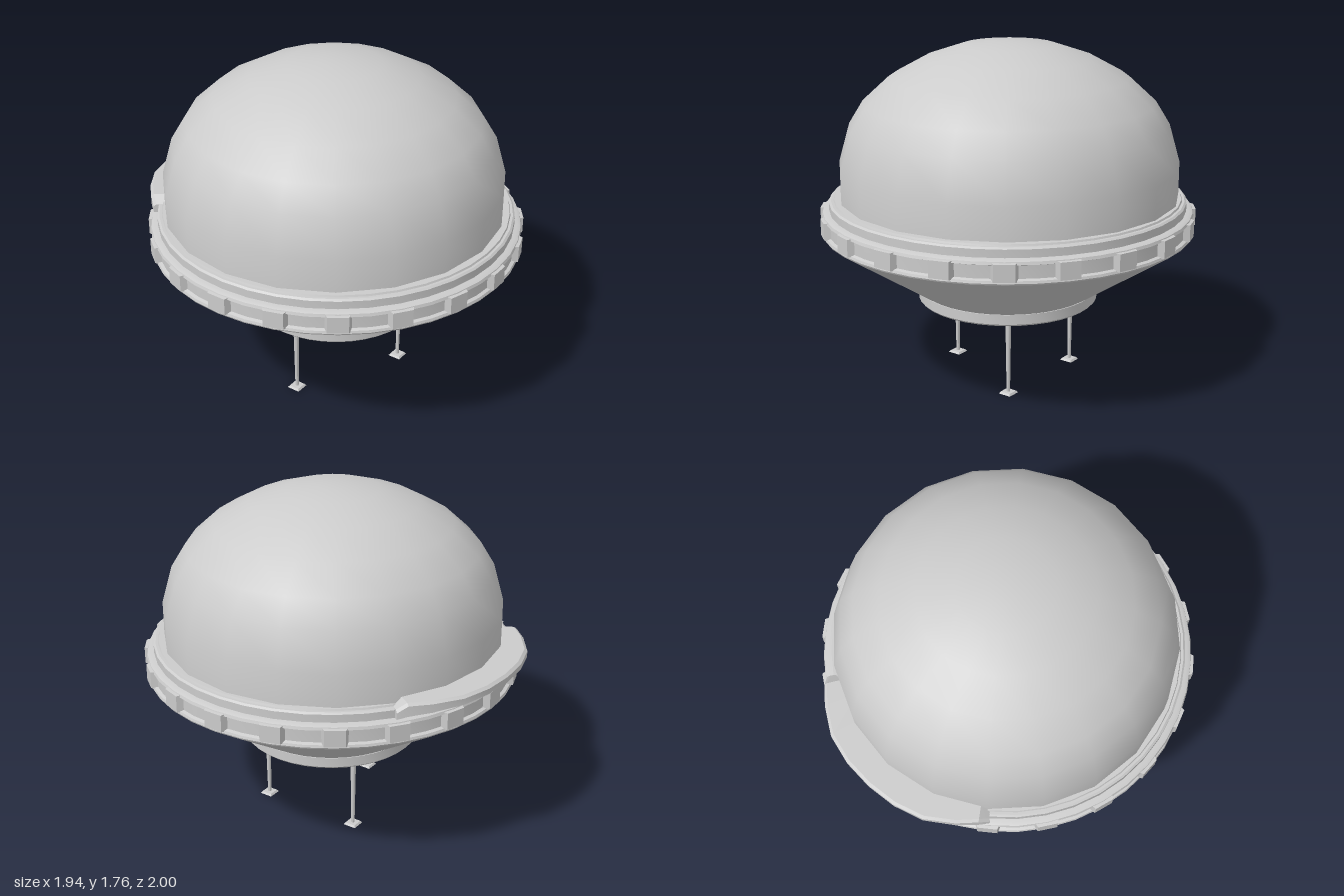
import * as THREE from 'three';
import { toCreasedNormals } from 'three/addons/utils/BufferGeometryUtils.js';

const material = new THREE.MeshStandardMaterial({ color: 0xcccccc });
const DOME_SIDES = 20;
const RIM_SIDES = 40;
const CENTRE_Z = 0.03;

function part(name, geometry, parent, crease = 0.5) {
  const mesh = new THREE.Mesh(toCreasedNormals(geometry, crease), material);
  mesh.name = name;
  parent.add(mesh);
  return mesh;
}

// Turned part from [radius, height] pairs, listed from the bottom up
function turned(name, profile, sides, parent, crease) {
  const points = profile.map(([r, y]) => new THREE.Vector2(r, y));
  return part(name, new THREE.LatheGeometry(points, sides), parent, crease);
}

// Rim block: a box whose outer face is narrower and shorter than its root
function blockGeometry() {
  const geometry = new THREE.BoxGeometry(0.14, 0.1, 0.05);
  const p = geometry.attributes.position;
  for (let i = 0; i < p.count; i++) {
    if (p.getZ(i) > 0) p.setXY(i, p.getX(i) * 0.72, p.getY(i) * 0.86);
  }
  return geometry;
}

// Rear ledge: cross-sections [angle in degrees, outer radius, top, outer bottom] swept around the back
function ledgeGeometry() {
  const half = [
    [0, 1.03, 1.0, 0.96], [9, 1.03, 1.0, 0.96], [18, 1.023, 1.0, 0.957],
    [27, 0.99, 1.0, 0.945], [33.5, 0.962, 1.0, 0.935], [36.5, 0.945, 0.965, 0.92],
  ];
  const sections = [...half.slice(1).reverse().map(([a, ...rest]) => [-a, ...rest]), ...half];
  const positions = [];
  const index = [];
  for (const [degrees, outer, top, bottom] of sections) {
    const a = THREE.MathUtils.degToRad(degrees);
    const loop = [[0.82, top], [outer - 0.015, top], [outer, top - 0.012], [outer, bottom], [0.91, 0.918], [0.82, 0.918]];
    for (const [r, y] of loop) positions.push(r * Math.sin(a), y, -r * Math.cos(a));
  }
  const n = 6;
  for (let s = 0; s < sections.length - 1; s++) {
    for (let k = 0; k < n; k++) {
      const a = s * n + k, b = s * n + (k + 1) % n;
      index.push(a, a + n, b, b, a + n, b + n);
    }
  }
  // End caps
  const last = (sections.length - 1) * n;
  for (let k = 1; k < n - 1; k++) {
    index.push(0, k, k + 1, last, last + k + 1, last + k);
  }
  const geometry = new THREE.BufferGeometry();
  geometry.setAttribute('position', new THREE.Float32BufferAttribute(positions, 3));
  geometry.setIndex(index);
  return geometry;
}

// Landing leg with framed mounting plate, tapered pole and small square foot
function addLeg(x, z, parent) {
  const leg = new THREE.Group();
  leg.name = 'landingLeg';
  leg.position.set(x, 0, z);
  parent.add(leg);
  const plate = turned('mountingPlate', [
    [0, 0.405], [0.055, 0.405], [0.06, 0.394], [0.078, 0.394], [0.085, 0.402], [0.085, 0.414],
  ], 4, leg, 0.3);
  plate.rotation.y = Math.PI / 4;
  part('legPole', new THREE.CylinderGeometry(0.015, 0.009, 0.4, 8), leg, 0.9).position.y = 0.206;
  const foot = new THREE.CylinderGeometry(0.04, 0.05, 0.01, 4).rotateY(Math.PI / 4);
  part('foot', foot, leg).position.y = 0.005;
}

export function createModel() {
  const model = new THREE.Group();
  model.name = 'domedSaucer';

  // Dome
  const dome = turned('dome', [
    [0.877, 0.92], [0.877, 1.14], [0.82, 1.338], [0.746, 1.458], [0.61, 1.582],
    [0.43, 1.68], [0.24, 1.744], [0.08, 1.762], [0, 1.764],
  ], DOME_SIDES, model, 0.6);
  dome.position.z = 0.018;

  const hull = new THREE.Group();
  hull.name = 'hull';
  hull.position.z = CENTRE_Z;
  model.add(hull);

  // Collar around the foot of the dome
  turned('domeCollar', [
    [0.92, 0.905], [0.92, 0.958], [0.91, 0.966], [0.897, 0.966], [0.893, 0.975], [0.84, 0.975],
  ], RIM_SIDES, hull);

  // Rim with a sunken band
  turned('rim', [
    [0.958, 0.8], [0.962, 0.808], [0.958, 0.82], [0.942, 0.826], [0.942, 0.89],
    [0.958, 0.896], [0.953, 0.91], [0.935, 0.918], [0.85, 0.918],
  ], RIM_SIDES, hull);

  // Blocks spaced around the rim
  for (let i = 0; i < 20; i++) {
    const angle = (i / 20) * Math.PI * 2;
    const block = part('rimBlock', blockGeometry(), hull);
    block.position.set(0.944 * Math.sin(angle), 0.86, 0.944 * Math.cos(angle));
    block.rotation.y = angle;
  }

  // Sloping underside
  turned('lowerCone', [[0.45, 0.463], [0.465, 0.473], [0.958, 0.8]], RIM_SIDES, hull);

  // Base disc with a round recess
  turned('baseDisc', [
    [0, 0.47], [0.2, 0.47], [0.2, 0.435], [0.225, 0.412], [0.46, 0.412],
    [0.47, 0.422], [0.47, 0.473], [0.44, 0.476],
  ], RIM_SIDES, hull);

  // Rear ledge
  part('rearLedge', ledgeGeometry(), hull, 0.4);

  // Three landing legs
  addLeg(0.207, 0.272, hull);
  addLeg(0.207, -0.282, hull);
  addLeg(-0.35, -0.005, hull);

  return model;
}
